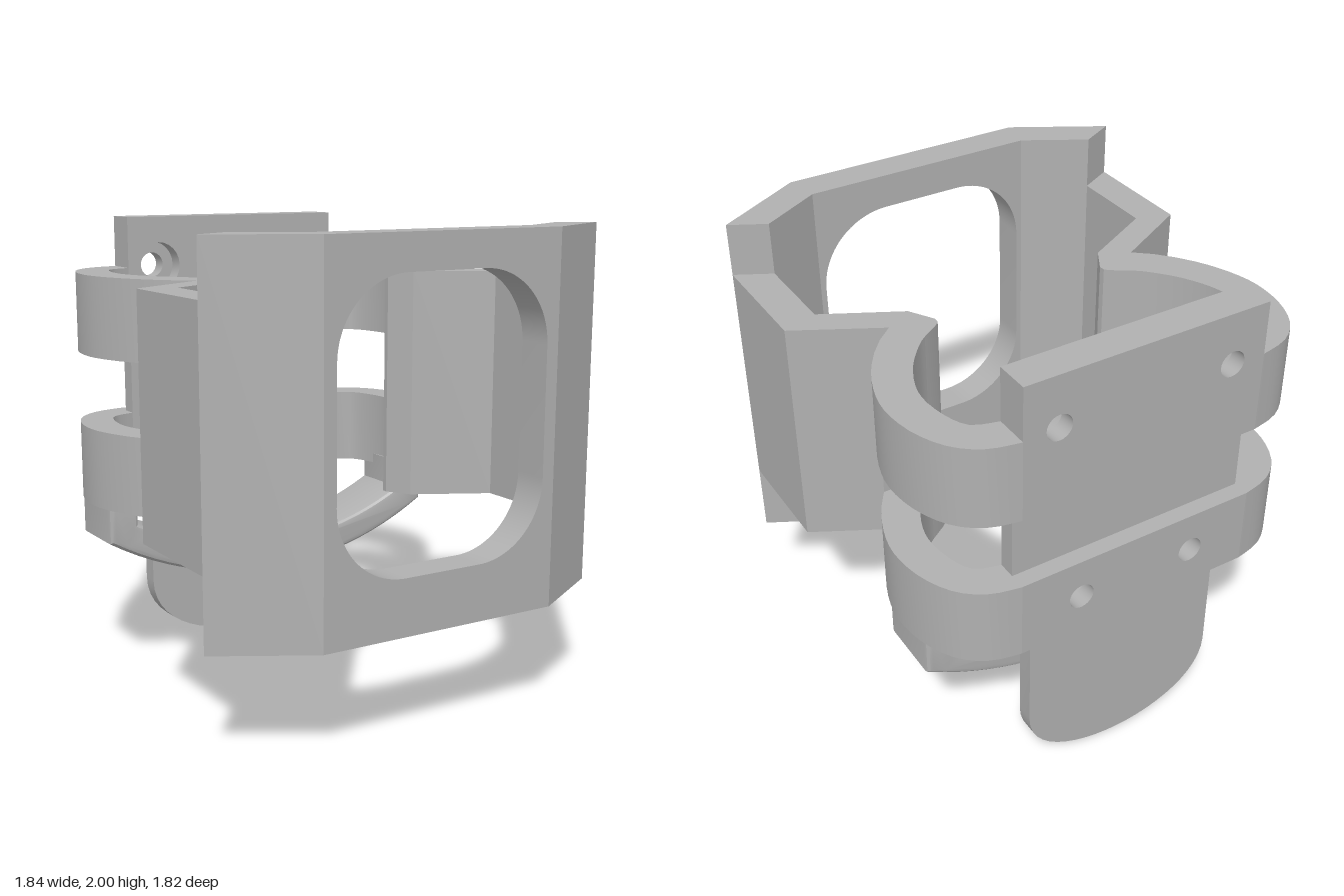
import * as THREE from 'three';
import { toCreasedNormals } from 'three/addons/utils/BufferGeometryUtils.js';

const grey = new THREE.MeshStandardMaterial({ color: 0xb0b0b0 });
grey.name = 'plain grey';

export function createModel() {
  const group = new THREE.Group();

  const add = (name, geometry) => {
    const mesh = new THREE.Mesh(toCreasedNormals(geometry, 0.5), grey);
    mesh.name = name;
    group.add(mesh);
  };

  // Plan outline of [x, z] points, raised from y0 to y1
  const raise = (name, points, y0, y1) => {
    const shape = new THREE.Shape(points.map(([x, z]) => new THREE.Vector2(x, -z)));
    const g = new THREE.ExtrudeGeometry(shape, { depth: y1 - y0, bevelEnabled: false });
    add(name, g.rotateX(-Math.PI / 2).translate(0, y0, 0));
  };

  // Front outline pushed from z0 to z1
  const push = (name, shape, z0, z1) => {
    const g = new THREE.ExtrudeGeometry(shape, { depth: z1 - z0, bevelEnabled: false, curveSegments: 12 });
    add(name, g.translate(0, 0, z0));
  };

  const rect = (w, y0, y1) => new THREE.Shape(
    [[-w, y0], [w, y0], [w, y1], [-w, y1]].map(p => new THREE.Vector2(...p)));

  const drill = (shape, x, y, r) => {
    for (const s of [-1, 1]) shape.holes.push(new THREE.Path().absarc(s * x, y, r, 0, Math.PI * 2, true));
    return shape;
  };

  const smooth = (points, n = 20) => new THREE.SplineCurve(points.map(p => new THREE.Vector2(...p)))
    .getPoints(n).map(p => [p.x, p.y]);

  // Front plate with a rounded window
  const front = rect(0.51, 0.47, 2);
  const w = 0.485, b = 0.705, t = 1.855, r = 0.31, q = Math.PI / 2;
  const win = new THREE.Path();
  win.absarc(w - r, t - r, r, 0, q, false);
  win.absarc(r - w, t - r, r, q, 2 * q, false);
  win.absarc(r - w, b + r, r, 2 * q, 3 * q, false);
  win.absarc(w - r, b + r, r, 3 * q, 4 * q, false);
  win.closePath();
  front.holes.push(win);
  push('frontPlate', front, 0.76, 0.91);

  // Ring arcs behind the waist
  const outerArc = smooth([[0.70, -0.14], [0.77, -0.25], [0.825, -0.39], [0.843, -0.52],
    [0.82, -0.67], [0.755, -0.80], [0.655, -0.88], [0.53, -0.912]]);
  const innerArc = smooth([[0.53, -0.765], [0.63, -0.73], [0.675, -0.64], [0.692, -0.51],
    [0.67, -0.40], [0.61, -0.28], [0.53, -0.18], [0.485, -0.14]]);

  for (const [side, s] of [['left', 1], ['right', -1]]) {
    const m = points => points.map(([x, z]) => [s * x, z]);
    // Slanted wing of the front plate
    raise(side + 'FrontWing',
      m([[0.51, 0.91], [0.54, 0.91], [0.92, 0.69], [0.77, 0.61], [0.51, 0.76]]), 0.47, 2);
    // Side wall folding in to a narrow waist
    raise(side + 'Wall', m([[0.92, 0.69], [0.92, 0.18], [0.57, -0.01], [0.64, -0.07], [0.70, -0.14],
      [0.485, -0.14], [0.41, -0.09], [0.39, -0.07], [0.388, -0.045], [0.45, 0.06],
      [0.77, 0.23], [0.77, 0.61]]), 0.775, 1.775);
    // Two curved bands with a slot between them
    for (const [part, y0, y1] of [['LowerBand', 0.775, 1.115], ['UpperBand', 1.43, 1.775]])
      raise(side + part, m([...outerArc, ...innerArc]), y0, y1);
  }

  // Inner back layer with wide screw recesses and a hanging tongue
  const back = new THREE.Shape();
  back.moveTo(0, 0);
  back.bezierCurveTo(0.22, 0, 0.447, 0.1, 0.447, 0.3);
  [[0.447, 0.775], [0.53, 0.775], [0.53, 2], [-0.53, 2], [-0.53, 0.775], [-0.447, 0.775], [-0.447, 0.3]]
    .forEach(p => back.lineTo(...p));
  back.bezierCurveTo(-0.447, 0.1, -0.22, 0, 0, 0);
  drill(back, 0.26, 0.94, 0.105);
  drill(back, 0.38, 1.78, 0.105);
  push('backPlateAndTongue', back, -0.84, -0.765);

  // Outer back layers with small screw holes and a groove between
  push('lowerBackPlate', drill(rect(0.53, 0.775, 1.115), 0.26, 0.94, 0.055), -0.912, -0.84);
  push('upperBackPlate', drill(rect(0.53, 1.43, 2), 0.38, 1.78, 0.055), -0.912, -0.84);

  // Curved strap under the ring
  const arc = (R, half) => Array.from({ length: 25 }, (_, i) => {
    const x = -half + (2 * half * i) / 24;
    return new THREE.Vector2(x, 1.96 - Math.sqrt(R * R - x * x));
  });
  const strap = new THREE.Shape([
    new THREE.Vector2(-0.82, 0.82), ...arc(1.57, 0.82), new THREE.Vector2(0.82, 0.82),
    new THREE.Vector2(0.685, 0.82), ...arc(1.44, 0.685).reverse(), new THREE.Vector2(-0.685, 0.82)]);
  const bevel = 0.025;
  add('bottomStrap', new THREE.ExtrudeGeometry(strap, {
    depth: 0.31 - 2 * bevel, bevelThickness: bevel, bevelSize: bevel, bevelOffset: -bevel, bevelSegments: 3,
  }).translate(0, 0, -0.685 + bevel));

  return group;
}
